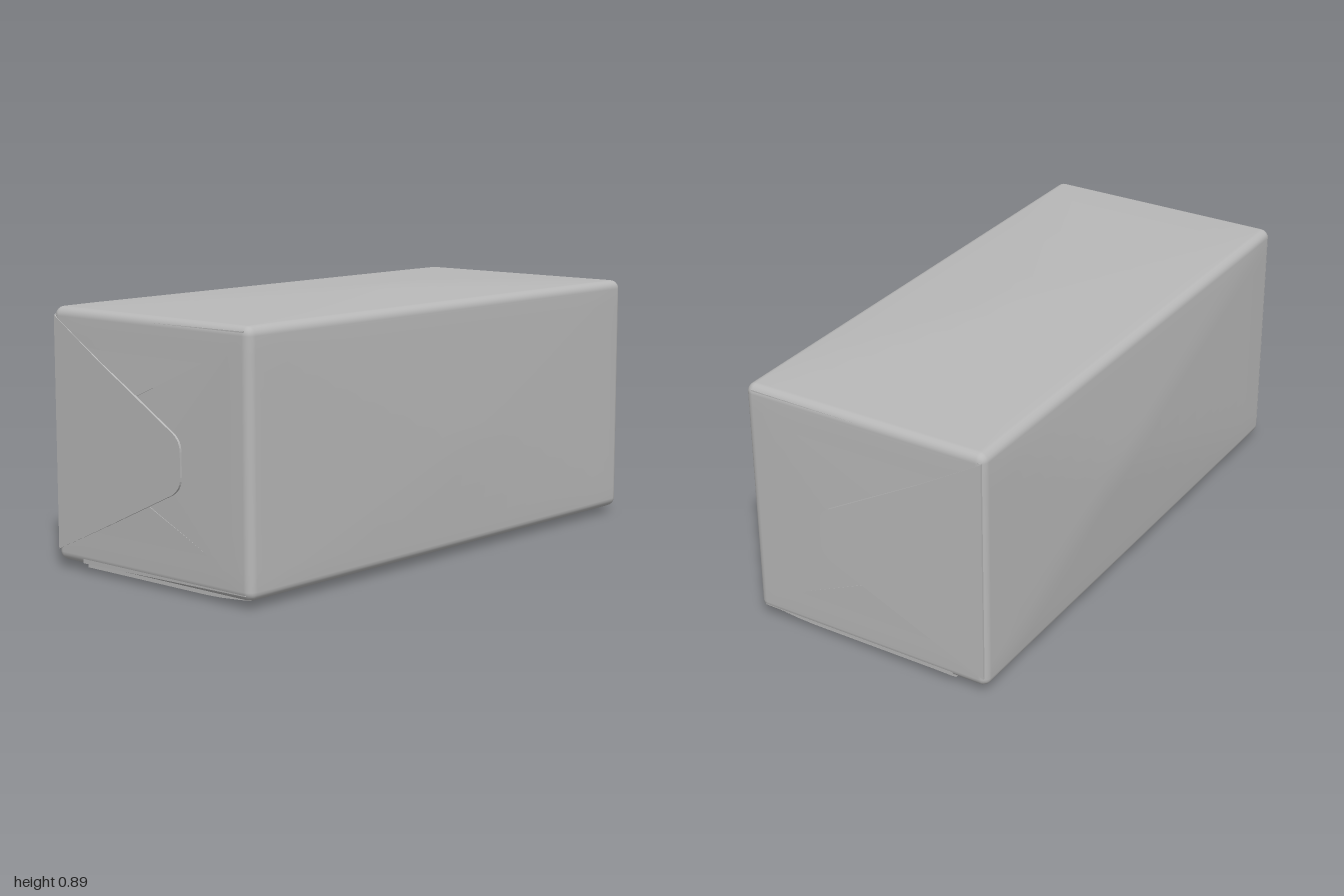
import * as THREE from 'three';
import { mergeVertices } from 'three/addons/utils/BufferGeometryUtils.js';

const MIN = [-0.983, 0.025, -0.438], MAX = [0.983, 0.87, 0.457], R = 0.03;
const clamp = THREE.MathUtils.clamp;

// Shallow pyramid, 1 at its peak and 0 at the panel's edges
const ramp = (v, a, peak, b) => clamp(v < peak ? (v - a) / (peak - a) : (b - v) / (b - peak), 0, 1);
const tent = (p, i, pi, j, pj) =>
  Math.min(ramp(p[i], MIN[i], pi, MAX[i]), ramp(p[j], MIN[j], pj, MAX[j]));

// How far each stuffed panel swells outward at a point
const topSwell = p => 0.025 * tent(p, 0, 0.12, 2, 0.06);
const bottomSwell = p => 0.013 * tent(p, 0, 0.2, 2, 0);
const frontSwell = p => 0.009 * tent(p, 0, 0.1, 1, 0.4);
const backSwell = p => 0.029 * tent(p, 0, 0.17, 1, 0.45);
const endSwell = p => 0.005 * tent(p, 1, 0.44, 2, 0.05);

// Rounded block whose six faces bulge
function bodyGeometry() {
  const n = 20, k = 3;
  let g = new THREE.BoxGeometry(2, 2, 2, n, n, n);
  g.deleteAttribute('normal');
  g.deleteAttribute('uv');
  g = mergeVertices(g);
  const pos = g.attributes.position;
  const spread = (t, lo, hi) => {          // grid lines gather in the rounded edges
    const i = Math.round((t + 1) / 2 * n);
    if (i <= k) return lo + R * i / k;
    if (i >= n - k) return hi - R * (n - i) / k;
    return lo + R + (hi - lo - 2 * R) * (i - k) / (n - 2 * k);
  };
  for (let v = 0; v < pos.count; v++) {
    const raw = [pos.getX(v), pos.getY(v), pos.getZ(v)];
    const p = raw.map((t, a) => spread(t, MIN[a], MAX[a]));
    const core = p.map((t, a) => clamp(t, MIN[a] + R, MAX[a] - R));
    const d = new THREE.Vector3(...p.map((t, a) => t - core[a])).setLength(R);
    const q = [core[0] + d.x, core[1] + d.y, core[2] + d.z];
    if (raw[1] > 0.999) q[1] += topSwell(p);
    if (raw[1] < -0.999) q[1] -= bottomSwell(p);
    if (raw[2] > 0.999) q[2] += frontSwell(p);
    if (raw[2] < -0.999) q[2] -= backSwell(p);
    if (Math.abs(raw[0]) > 0.999) q[0] += Math.sign(raw[0]) * endSwell(p);
    pos.setXYZ(v, ...q);
  }
  g.computeVertexNormals();
  return g;
}

// Overlapping wrapper sheet under the block, ending in a step near the back
function seamGeometry() {
  const z0 = -0.31, z1 = 0.43, y1 = 0.035;
  const g = new THREE.BoxGeometry(1.92, 1, z1 - z0, 16, 1, 12);
  const pos = g.attributes.position;
  for (let v = 0; v < pos.count; v++) {
    const x = pos.getX(v), z = pos.getZ(v) + (z0 + z1) / 2;
    const low = 0.025 - bottomSwell([x, 0, z]) - 0.012 * clamp((z1 - z) / 0.15, 0, 1);
    pos.setXYZ(v, x, pos.getY(v) < 0 ? low : y1, z);
  }
  g.computeVertexNormals();
  return g;
}

// Thin folded flap on an end; lift(z, y) gives the outer x of the sheet
function flapGeometry(shape, lift, side) {
  const depth = 0.008;
  let g = new THREE.ExtrudeGeometry(shape, { depth, bevelEnabled: false, curveSegments: 6 });
  const pos = g.attributes.position;
  for (let v = 0; v < pos.count; v++) {
    const z = pos.getX(v), y = pos.getY(v), inner = pos.getZ(v) < depth / 2;
    pos.setXYZ(v, side * (lift(z, y) - (inner ? depth : 0)), y, z);
  }
  if (side > 0) {                          // keep corners counter-clockwise
    for (let v = 0; v < pos.count; v += 3) {
      const a = [pos.getX(v), pos.getY(v), pos.getZ(v)];
      pos.setXYZ(v, pos.getX(v + 1), pos.getY(v + 1), pos.getZ(v + 1));
      pos.setXYZ(v + 1, ...a);
    }
  }
  g.computeVertexNormals();
  return g;
}

const polygon = pts => new THREE.Shape(pts.map(p => new THREE.Vector2(...p)));

export function createModel() {
  const model = new THREE.Group();
  model.name = 'wrappedBlock';
  const paper = new THREE.MeshStandardMaterial({ color: 0xb8b8b8 });
  paper.name = 'grey wrapper';
  const add = (name, geometry) => {
    const mesh = new THREE.Mesh(geometry, paper);
    mesh.name = name;
    model.add(mesh);
  };

  add('body', bodyGeometry());
  add('bottomOverlap', seamGeometry());

  // Flap outlines as [z, y]
  const topFlap = polygon([[0.435, 0.855], [0.25, 0.74], [-0.03, 0.615], [-0.2, 0.705], [-0.425, 0.845]]);
  const bottomFlap = polygon([[0.435, 0.042], [-0.31, 0.03], [-0.31, 0.11], [-0.2, 0.165], [0.02, 0.265], [0.25, 0.16]]);
  const backFlap = new THREE.Shape();
  backFlap.moveTo(-0.428, 0.842);
  backFlap.lineTo(-0.2, 0.705);
  backFlap.lineTo(0.14, 0.515);
  backFlap.quadraticCurveTo(0.172, 0.495, 0.172, 0.46);
  backFlap.lineTo(0.172, 0.38);
  backFlap.quadraticCurveTo(0.172, 0.34, 0.13, 0.318);
  backFlap.lineTo(-0.2, 0.165);
  backFlap.lineTo(-0.428, 0.062);

  for (const side of [1, -1]) {
    const end = side > 0 ? 'left' : 'right';
    add(end + 'TopFlap', flapGeometry(topFlap, (z, y) => 0.981 + 0.03 * (0.86 - y), side));
    add(end + 'BottomFlap', flapGeometry(bottomFlap, (z, y) => 0.981 + 0.03 * (y - 0.03), side));
    add(end + 'BackFlap', flapGeometry(backFlap, z => 0.984 + 0.026 * (z + 0.43), side));
  }
  return model;
}
